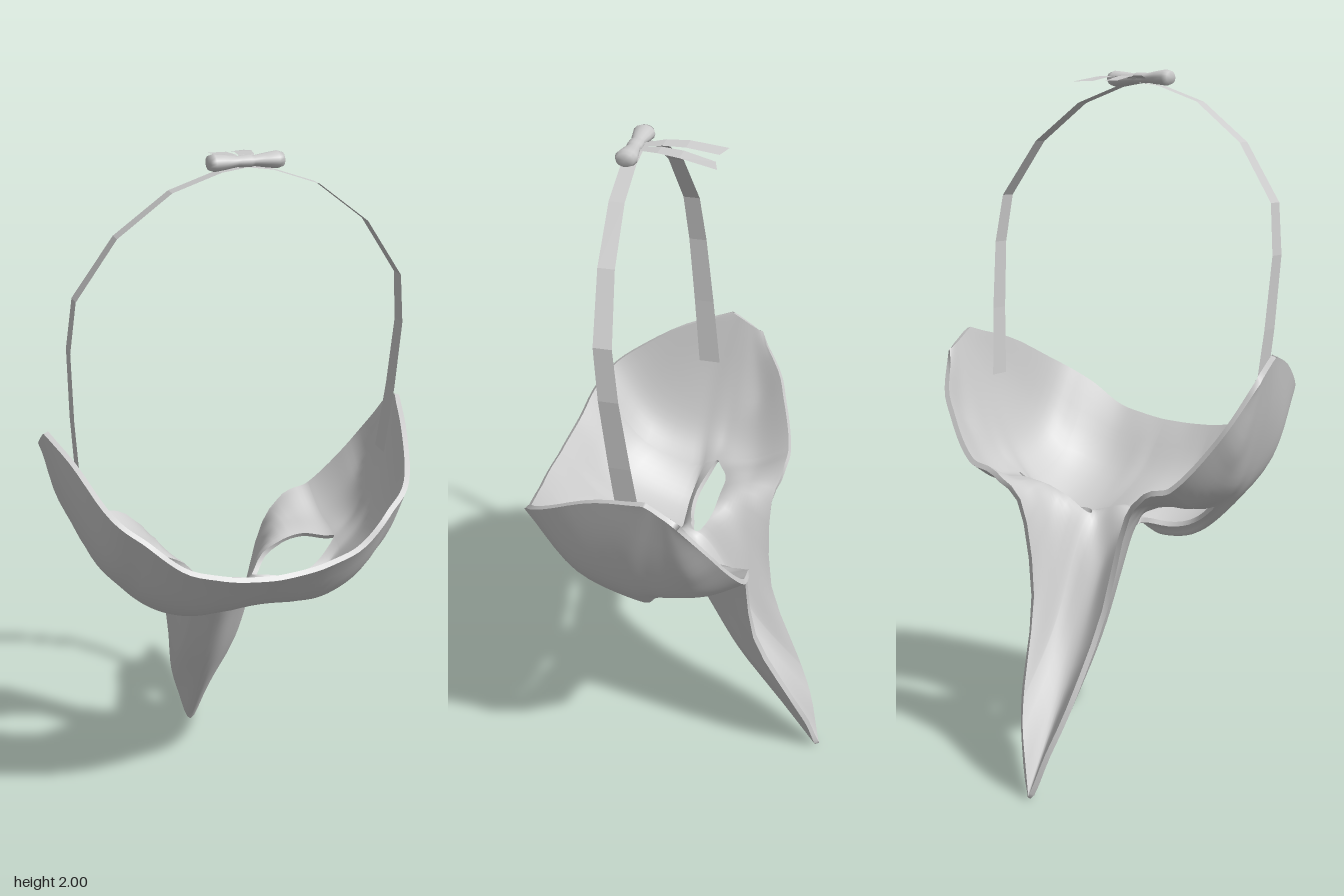
import * as THREE from 'three';
import { mergeGeometries, mergeVertices } from 'three/addons/utils/BufferGeometryUtils.js';

const EDGE = 0.53, THICK = 0.015;
const EYE = { x: 0.215, r: 0.13 };

// Half-mask cross-sections at each x: z, y pairs from forehead rim, over the brow
// and the eye, to the lower rim (which runs down the long nose near the middle).
const COLUMN_X = [0, 0.05, 0.09, 0.125, 0.17, 0.25, 0.345, 0.44, 0.49, EDGE];
const COLUMNS = [
  [0.425, 0.92, 0.28, 0.78, 0.1, 0.72, 0.02, 0.725, -0.06, 0.58, -0.2, 0.335, -0.43, 0.0],
  [0.423, 0.922, 0.28, 0.778, 0.08, 0.705, 0.02, 0.715, -0.06, 0.62, -0.2, 0.37, -0.4, 0.13],
  [0.42, 0.925, 0.28, 0.775, 0.07, 0.69, 0.015, 0.71, -0.05, 0.69, -0.19, 0.45, -0.345, 0.27],
  [0.418, 0.93, 0.27, 0.77, 0.06, 0.68, 0.012, 0.71, -0.065, 0.75, -0.16, 0.62, -0.25, 0.48],
  [0.413, 0.94, 0.27, 0.77, 0.06, 0.68, 0.017, 0.71, -0.07, 0.78, -0.15, 0.77, -0.222, 0.72],
  [0.4, 0.965, 0.26, 0.79, 0.06, 0.7, 0.02, 0.73, -0.075, 0.8, -0.16, 0.82, -0.247, 0.85],
  [0.365, 1.04, 0.23, 0.85, 0.06, 0.78, 0.0, 0.795, -0.05, 0.81, -0.15, 0.83, -0.25, 0.89],
  [0.27, 1.12, 0.18, 0.98, 0.06, 0.92, 0.0, 0.915, -0.05, 0.91, -0.13, 0.93, -0.213, 1.0],
  [0.12, 1.2, 0.08, 1.12, 0.03, 1.07, -0.02, 1.06, -0.06, 1.05, -0.12, 1.03, -0.18, 1.08],
  [-0.02, 1.24, -0.03, 1.235, -0.04, 1.23, -0.055, 1.22, -0.07, 1.21, -0.085, 1.2, -0.11, 1.18],
];
const ROW_KNOTS = [0, 1, 2, 3, 4, 5, 6];

// Smooth cubic interpolation through (k, v)
function smooth(k, v, t, flatStart = false) {
  const n = k.length;
  let i = 0;
  while (i < n - 2 && t > k[i + 1]) i++;
  const d = (a) => (v[a + 1] - v[a]) / (k[a + 1] - k[a]);
  const slope = (a) => {
    if (a === 0) return flatStart ? 0 : d(0);
    if (a === n - 1) return d(n - 2);
    const l = k[a] - k[a - 1], r = k[a + 1] - k[a];
    return (d(a - 1) * r + d(a) * l) / (l + r);
  };
  const h = k[i + 1] - k[i], s = (t - k[i]) / h, s2 = s * s, s3 = s2 * s;
  return (2 * s3 - 3 * s2 + 1) * v[i] + (s3 - 2 * s2 + s) * h * slope(i)
    + (3 * s2 - 2 * s3) * v[i + 1] + (s3 - s2) * h * slope(i + 1);
}

function maskPoint(x, v) {
  const at = (o) => smooth(ROW_KNOTS, ROW_KNOTS.map((j) =>
    smooth(COLUMN_X, COLUMNS.map((c) => c[2 * j + o]), Math.abs(x), true)), v);
  return new THREE.Vector3(x, at(1), at(0));
}

// Point on the inside of the shell, offset along the surface normal
function innerPoint(x, v) {
  const e = 0.003;
  const dx = maskPoint(x + e, v).sub(maskPoint(x - e, v));
  const dv = maskPoint(x, Math.min(v + e, 6)).sub(maskPoint(x, Math.max(v - e, 0)));
  return maskPoint(x, v).addScaledVector(dx.cross(dv).normalize(), THICK);
}

// Grid of points f(i, j) as a surface
function grid(nI, nJ, f, flip = false) {
  const pos = [], idx = [];
  for (let i = 0; i <= nI; i++) for (let j = 0; j <= nJ; j++) pos.push(...f(i, j).toArray());
  for (let i = 0; i < nI; i++) for (let j = 0; j < nJ; j++) {
    const a = i * (nJ + 1) + j, b = a + nJ + 1;
    if (flip) idx.push(a, a + 1, b, b, a + 1, b + 1);
    else idx.push(a, b, a + 1, b, b + 1, a + 1);
  }
  const g = new THREE.BufferGeometry();
  g.setAttribute('position', new THREE.Float32BufferAttribute(pos, 3));
  g.setIndex(idx);
  g.computeVertexNormals();
  return g;
}

function weld(parts) {
  parts.forEach((p) => p.deleteAttribute('normal'));
  const g = mergeVertices(mergeGeometries(parts), 1e-5);
  g.computeVertexNormals();
  return g;
}

function createMask(material) {
  // Column positions: even over nose and temple, bunched at the eye corners
  const half = [];
  for (let i = 0; i < 7; i++) half.push((EYE.x - EYE.r) * i / 7);
  for (let i = 0; i < 18; i++) half.push(EYE.x - EYE.r * Math.cos(Math.PI * i / 18));
  for (let i = 0; i <= 14; i++) half.push(EYE.x + EYE.r + (EDGE - EYE.x - EYE.r) * i / 14);
  const xs = [...half.slice(1).reverse().map((x) => -x), ...half];
  const nX = xs.length - 1;

  const gap = (x) => 0.5 * Math.sqrt(Math.max(0, 1 - ((Math.abs(x) - EYE.x) / EYE.r) ** 2));
  const eyeTop = (x) => 3.5 - gap(x), eyeBottom = (x) => 3.5 + gap(x);
  const halves = (point, flip) => weld([
    grid(nX, 16, (i, j) => point(xs[i], eyeTop(xs[i]) * j / 16), flip),
    grid(nX, 16, (i, j) => point(xs[i], THREE.MathUtils.lerp(eyeBottom(xs[i]), 6, j / 16)), flip),
  ]);

  // Narrow wall joining outside and inside along an edge
  const wall = (n, x, v) => grid(n, 1, (i, j) => (j ? innerPoint : maskPoint)(x(i), v(i)));
  const walls = [
    wall(nX, (i) => xs[i], () => 0),
    wall(nX, (i) => xs[i], () => 6),
  ];
  for (const s of [-1, 1]) {
    walls.push(wall(12, () => s * EDGE, (i) => i / 2));
    walls.push(wall(36, (i) => s * (EYE.x - EYE.r * Math.cos(Math.PI * i / 18)),
      (i) => 3.5 + 0.5 * Math.sin(Math.PI * i / 18)));
  }

  const mask = new THREE.Group();
  mask.name = 'mask';
  const parts = {
    maskOutside: halves(maskPoint, true),
    maskInside: halves(innerPoint, false),
    maskRim: weld(walls),
  };
  for (const [name, g] of Object.entries(parts)) {
    const m = new THREE.Mesh(g, material);
    m.name = name;
    mask.add(m);
  }
  return mask;
}

export function createModel() {
  const model = new THREE.Group();
  const smoothMat = new THREE.MeshStandardMaterial({ color: 0xcccccc, side: THREE.DoubleSide });
  const flatMat = new THREE.MeshStandardMaterial({ color: 0xcccccc, side: THREE.DoubleSide, flatShading: true });
  const add = (name, geometry, material) => {
    const m = new THREE.Mesh(geometry, material);
    m.name = name;
    model.add(m);
    return m;
  };

  model.add(createMask(smoothMat));

  // Head strap: a ribbon arching from temple to temple
  const side = [[0.45, 1.1], [0.465, 1.3], [0.472, 1.5], [0.455, 1.64], [0.345, 1.8], [0.2, 1.91], [0.07, 1.955]];
  const arch = [...side, [0, 1.965], ...side.map(([x, y]) => [-x, y]).reverse()];
  add('strap', grid(arch.length - 1, 1, (i, j) => {
    const [x, y] = arch[i];
    const z = 0.05 + (y - 1.24) * 0.11, w = 0.03 - (y - 1.24) * 0.014;
    return new THREE.Vector3(x, y, z + (j ? w : -w));
  }), flatMat);

  // Bow: two flared loops pinched at the knot
  const profile = [[0, -0.1], [0.024, -0.1], [0.03, -0.085], [0.025, -0.055], [0.018, -0.022], [0.021, -0.012],
    [0.021, 0.012], [0.018, 0.022], [0.025, 0.055], [0.03, 0.085], [0.024, 0.1], [0, 0.1]];
  const bow = new THREE.LatheGeometry(profile.map(([r, y]) => new THREE.Vector2(r, y)), 14);
  bow.rotateZ(Math.PI / 2).scale(1, 0.75, 1).translate(0, 1.9775, 0.13);
  add('bow', bow, smoothMat);

  // Ribbon tails trailing behind the bow: inner x, inner z, outer x, outer z, y
  const tail = [[0, 0.12, 0.025, 0.12, 1.975], [0.003, 0.06, 0.047, 0.06, 1.982],
    [0.01, 0, 0.06, 0, 1.98], [0.022, -0.085, 0.072, -0.1, 1.964]];
  for (const s of [-1, 1]) {
    add(s > 0 ? 'leftTail' : 'rightTail', grid(tail.length - 1, 1, (i, j) => {
      const t = tail[i];
      return new THREE.Vector3(s * t[2 * j], t[4], t[2 * j + 1]);
    }, s > 0), flatMat);
  }
  return model;
}
